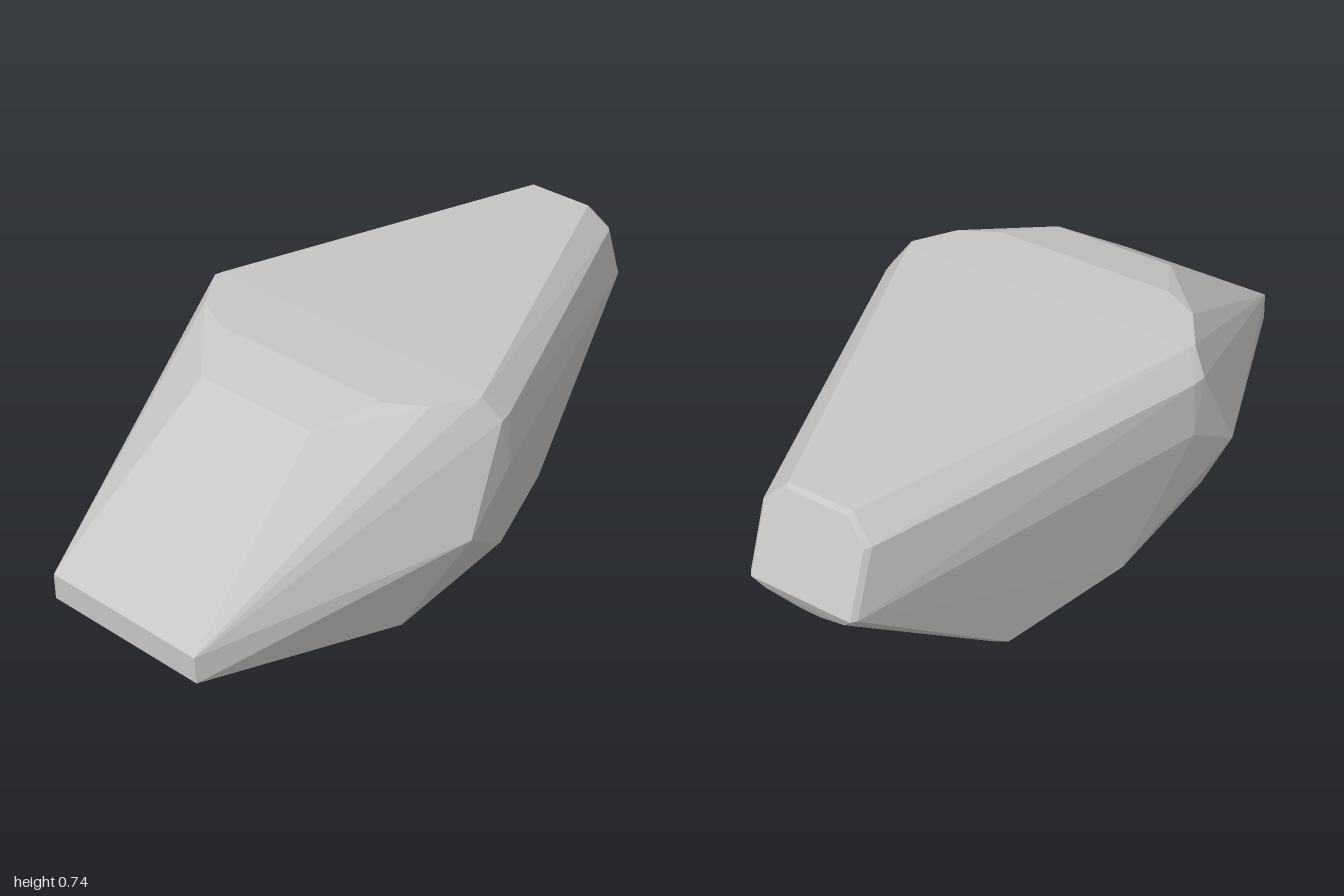
import * as THREE from 'three';
import { ConvexGeometry } from 'three/addons/geometries/ConvexGeometry.js';

export function createModel() {
  const group = new THREE.Group();
  group.name = 'rock';
  const stone = new THREE.MeshStandardMaterial({ color: 0xc6c6c6 });
  stone.name = 'light grey stone';

  // Corners of one half, mirrored across z = 0
  const corners = [
    // blunt end face
    [0.905, 0.70, 0.095], [0.928, 0.64, 0.155], [1, 0.455, 0.155],
    // narrow bevel around the end face
    [0.892, 0.71, 0.10], [0.912, 0.642, 0.168], [0.985, 0.455, 0.168],
    [0.985, 0.42, 0.125], [0.963, 0.38, 0.03],
    // flat top
    [-0.13, 0.738, 0.465], [-0.108, 0.738, 0.459], [-0.25, 0.738, 0.39],
    [-0.31, 0.738, 0.28], [-0.48, 0.70, 0.19],
    // widest shoulder
    [-0.10, 0.667, 0.514], [-0.06, 0.665, 0.507], [-0.06, 0.50, 0.515],
    [-0.25, 0.377, 0.538],
    // thin end
    [-1, 0.33, 0.25], [-1, 0.247, 0.253],
    // bevelled base
    [-0.36, 0.077, 0.396], [0.09, 0.077, 0.396],
    [-0.35, 0, 0.26], [0.07, 0, 0.26], [0.467, 0.02, 0.262], [0.487, 0.02, 0.23],
  ];
  const points = corners.flatMap(([x, y, z]) =>
    [1, -1].map((side) => new THREE.Vector3(x, y, z * side)));

  const body = new THREE.Mesh(new ConvexGeometry(points), stone);
  body.name = 'rockBody';
  group.add(body);
  return group;
}
